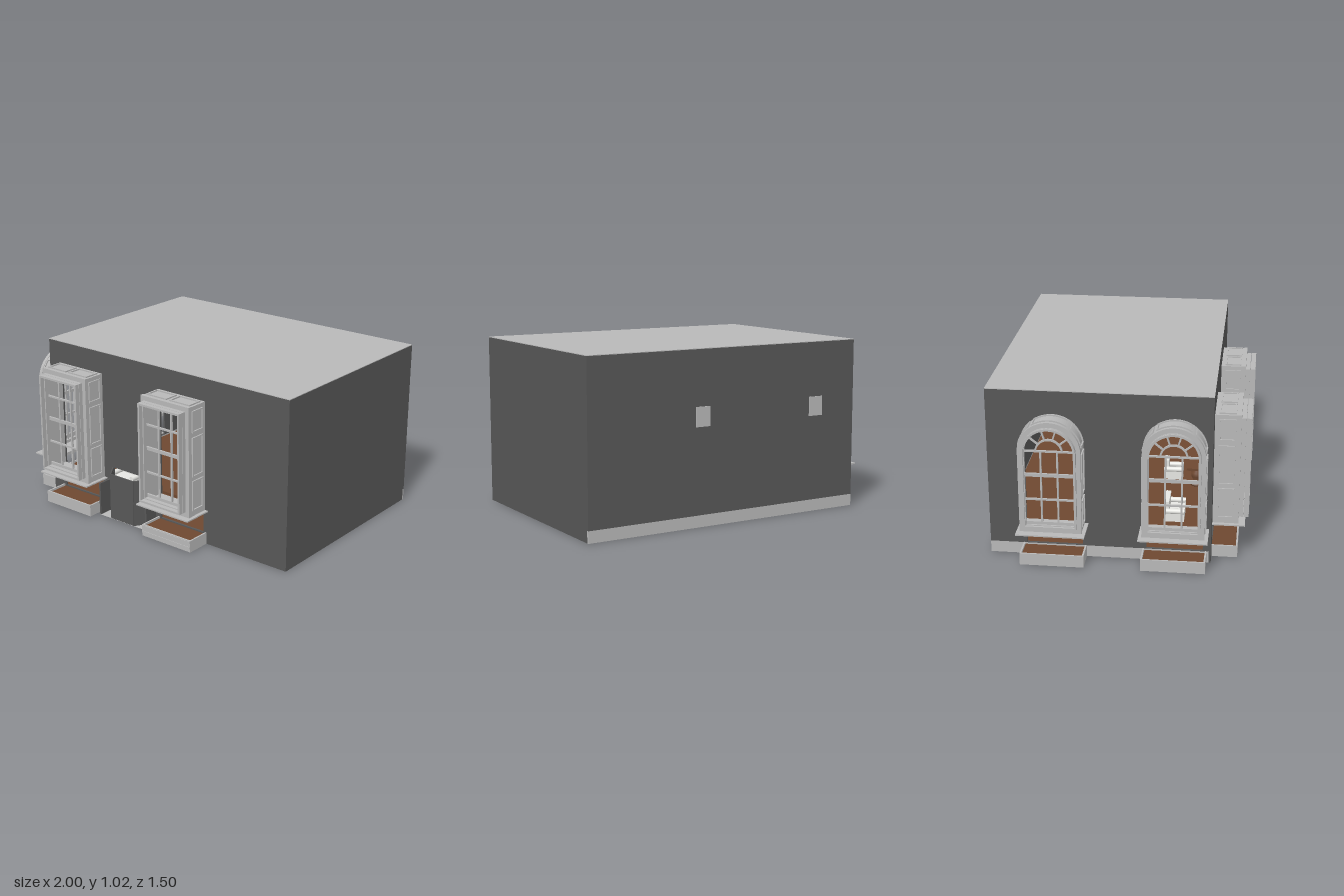
import * as THREE from 'three';

const mat = (name, color) => {
  const m = new THREE.MeshStandardMaterial({ color });
  m.name = name;
  return m;
};
const wallGrey = mat('wall grey', 0x575757);
const trim = mat('trim grey', 0xb8b8b8);
const brown = mat('floor brown', 0x6e4830);
const white = mat('upholstery white', 0xe6e6e2);

const X0 = -0.815, X1 = 1, Z0 = -0.745, Z1 = 0.54, H = 1.02;
const frontBays = [-0.55, 0.245], sideBays = [-0.365, 0.33];

function add(parent, name, geo, material, x = 0, y = 0, z = 0) {
  const m = new THREE.Mesh(geo, material);
  m.name = name;
  m.position.set(x, y, z);
  parent.add(m);
  return m;
}
// box given by its two corners
const box = (parent, name, material, x0, x1, y0, y1, z0, z1) =>
  add(parent, name, new THREE.BoxGeometry(x1 - x0, y1 - y0, z1 - z0), material,
    (x0 + x1) / 2, (y0 + y1) / 2, (z0 + z1) / 2);

const extrude = (shape, depth) =>
  new THREE.ExtrudeGeometry(shape, { depth, bevelEnabled: false, curveSegments: 24 });

// upright outline, square or round-headed, centred on cx
function outline(Type, cx, half, y0, y1, arched) {
  const s = new Type();
  const spring = arched ? y1 - half : y1;
  s.moveTo(cx - half, y0);
  s.lineTo(cx + half, y0);
  s.lineTo(cx + half, spring);
  if (arched) s.absarc(cx, spring, half, 0, Math.PI, false);
  else s.lineTo(cx - half, y1);
  s.closePath();
  return s;
}
function ring(half, y0, y1, t, depth, arched = false) {
  const s = outline(THREE.Shape, 0, half, y0, y1, arched);
  s.holes.push(outline(THREE.Path, 0, half - t, y0 + t, y1 - t, arched));
  return extrude(s, depth);
}
// curved strip of a round head between two angles
function arcStrip(r0, r1, a0, a1, depth) {
  const s = new THREE.Shape();
  s.absarc(0, 0, r1, a0, a1, false);
  s.absarc(0, 0, r0, a1, a0, true);
  s.closePath();
  return extrude(s, depth);
}

// bay window: wall plane at z = 0, projecting along +z
function bay(name, arched, depth, sashOut, sillOut) {
  const g = new THREE.Group();
  g.name = name;
  const top = 0.885, bottom = 0.215, half = 0.175, spring = top - half;
  add(g, 'bayShell', ring(half, bottom, top, 0.012, depth - 0.02, arched), trim);
  add(g, 'bayFrontFrame', ring(half + 0.003, bottom, top + 0.003, 0.032, 0.02, arched), trim, 0, 0, depth - 0.02);
  const step = (sashOut - depth) / 2;
  add(g, 'innerMoulding', ring(0.153, 0.248, 0.86, 0.016, step - 0.003, arched), trim, 0, 0, depth);
  add(g, 'outerMoulding', ring(0.153, 0.248, 0.86, 0.012, step, arched), trim, 0, 0, depth + step);
  box(g, 'sill', trim, -0.197, 0.197, 0.207, 0.215, 0, sillOut);

  // glazing bars
  const zb = depth - 0.012;
  for (const x of [-0.047, 0.047])
    box(g, 'uprightBar', trim, x - 0.005, x + 0.005, 0.24, arched ? spring : 0.86, zb, zb + 0.012);
  for (const [y, t] of [[0.42, 0.005], [0.57, 0.01], [0.715, 0.005], [0.27, 0.012]])
    box(g, 'crossBar', trim, -0.145, 0.145, y - t, y + t, zb, zb + 0.012);
  if (arched) {
    add(g, 'fanArc', arcStrip(0.07, 0.08, 0, Math.PI, 0.012), trim, 0, spring, zb);
    for (const a of [-0.9, -0.3, 0.3, 0.9]) {
      const b = add(g, 'fanBar', new THREE.BoxGeometry(0.009, 0.075, 0.012), trim,
        Math.sin(a) * 0.113, spring + Math.cos(a) * 0.113, zb + 0.006);
      b.rotation.z = -a;
    }
  }

  // raised panel mouldings on the cheeks
  const pw = depth * 0.32, zc = depth * 0.48;
  const rows = arched ? [[0.245, 0.41], [0.44, 0.695]] : [[0.25, 0.435], [0.46, 0.7], [0.73, 0.86]];
  for (const side of [-1, 1])
    for (const [y0, y1] of rows) {
      const p = add(g, 'cheekPanel', ring(pw, y0, y1, 0.008, 0.008), trim, side * half, 0, zc);
      p.rotation.y = side * Math.PI / 2;
    }
  // mouldings on the head
  if (arched) {
    for (const [a0, a1] of [[0.12, 0.85], [0.98, 2.16], [2.29, 3.02]]) {
      for (const z of [zc - pw, zc + pw - 0.008])
        add(g, 'headPanelRail', arcStrip(half - 0.002, half + 0.008, a0, a1, 0.008), trim, 0, spring, z);
      for (const a of [a0, a1 - 0.045])
        add(g, 'headPanelEnd', arcStrip(half - 0.002, half + 0.008, a, a + 0.045, pw * 2), trim, 0, spring, zc - pw);
    }
  } else {
    for (const x of [-0.085, 0.085]) {
      const p = add(g, 'headPanel', ring(0.075, -pw, pw, 0.009, 0.008), trim, x, top, zc);
      p.rotation.x = -Math.PI / 2;
    }
  }

  // low kerb round the floor below the bay
  const k = 0.18;
  box(g, 'kerbFront', trim, -k, k, 0, 0.072, depth - 0.01, depth);
  for (const s of [-1, 1])
    box(g, 'kerbSide', trim, s * k - 0.005, s * k + 0.005, 0, 0.072, 0, depth);
  return g;
}

// wall with openings, in the xy plane
function wall(x0, x1, y0, openings) {
  const s = new THREE.Shape();
  s.moveTo(x0, y0);
  s.lineTo(x1, y0);
  s.lineTo(x1, H);
  s.lineTo(x0, H);
  s.closePath();
  for (const o of openings) s.holes.push(outline(THREE.Path, ...o));
  return extrude(s, 0.012);
}

export function createModel() {
  const root = new THREE.Group();
  root.name = 'room';
  const t = 0.012;

  // walls and roof
  add(root, 'frontWall', wall(X0, X1, 0, [
    ...frontBays.map(c => [c, 0.163, 0.068, 0.873, false]),
    [-0.15, 0.15, 0.004, 0.295, false]]), wallGrey, 0, 0, Z1 - t);
  const left = add(root, 'archedWall', wall(Z0, Z1 - t, 0.07,
    sideBays.map(c => [c, 0.163, 0.074, 0.873, true])), wallGrey, X0 + t, 0, 0);
  left.rotation.y = -Math.PI / 2;
  box(root, 'backWall', wallGrey, X0 + t, X1, 0.07, H, Z0, Z0 + t);
  box(root, 'plainWall', wallGrey, X1 - t, X1, 0, H, Z0 + t, Z1 - t);
  box(root, 'roof', trim, X0, X1, H, H + 0.004, Z0, Z1);
  box(root, 'backBaseBand', trim, X0, X1, 0, 0.07, Z0, Z0 + t);
  box(root, 'sideBaseBand', trim, X0, X0 + t, 0, 0.07, Z0 + t, Z1 - t);

  // floor, continued out under each bay
  box(root, 'floor', brown, X0 + t, X1 - t, 0.001, 0.06, Z0 + t, Z1 - t);
  for (const c of frontBays) box(root, 'frontBayFloor', brown, c - 0.174, c + 0.174, 0.001, 0.06, Z1 - t, Z1 + 0.139);
  for (const c of sideBays) box(root, 'sideBayFloor', brown, X0 - 0.13, X0 + t, 0.001, 0.06, c - 0.174, c + 0.174);

  // bays
  for (const c of frontBays) {
    const b = bay('squareBay', false, 0.15, 0.207, 0.188);
    b.position.set(c, 0, Z1);
    root.add(b);
  }
  for (const c of sideBays) {
    const b = bay('archedBay', true, 0.14, 0.165, 0.185);
    b.rotation.y = -Math.PI / 2;
    b.position.set(X0, 0, c);
    root.add(b);
  }
  // stepped lip on one kerb
  for (const y of [0.02, 0.055])
    box(root, 'kerbLip', trim, 0.063, 0.427, y, y + 0.012, Z1 + 0.148, Z1 + 0.153);

  // small plates set through the back wall
  for (const x of [-0.53, 0.265])
    box(root, 'wallPlate', trim, x - 0.047, x + 0.047, 0.58, 0.695, Z0 - 0.005, Z0 + t + 0.005);

  // three-sided entrance screen with its threshold
  const screen = new THREE.Group();
  screen.name = 'entranceScreen';
  root.add(screen);
  const plan = [[-0.305, Z1], [-0.245, 0.628], [-0.06, 0.628], [-0.002, Z1]];
  for (let i = 0; i < 3; i++) {
    const [ax, az] = plan[i], [bx, bz] = plan[i + 1];
    const p = add(screen, 'screenPanel', new THREE.BoxGeometry(Math.hypot(bx - ax, bz - az), 0.292, 0.008),
      wallGrey, (ax + bx) / 2, 0.149, (az + bz) / 2);
    p.rotation.y = -Math.atan2(bz - az, bx - ax);
  }
  const threshold = add(screen, 'threshold', new THREE.PlaneGeometry(0.39, 0.095), trim, -0.145, 0.004, Z1 + 0.047);
  threshold.rotation.x = -Math.PI / 2;
  for (const x of [-0.335, 0.035])
    box(screen, 'entrancePost', wallGrey, x - 0.006, x + 0.006, 0, 0.21, Z1, Z1 + 0.09);

  // furniture: sofa, chair and pedestal table
  const seat = (name, x, z, w) => {
    const g = new THREE.Group();
    g.name = name;
    g.position.set(x, 0.06, z);
    root.add(g);
    box(g, 'seatBase', white, -w, w, 0.02, 0.075, -0.06, 0.06);
    box(g, 'seatBack', white, -w, w, 0.075, 0.15, -0.06, -0.03);
    for (const s of [-1, 1]) {
      const arm = add(g, 'armRoll', new THREE.CylinderGeometry(0.016, 0.016, 0.12, 14), white, s * w, 0.09, 0);
      arm.rotation.x = Math.PI / 2;
    }
  };
  seat('sofa', -0.4, 0.3, 0.08);
  seat('chair', 0.16, 0.25, 0.04);
  const profile = [[0, 0], [0.04, 0], [0.04, 0.012], [0.018, 0.025], [0.035, 0.06], [0.034, 0.085],
    [0.015, 0.11], [0.015, 0.125], [0, 0.125]].map(p => new THREE.Vector2(...p));
  add(root, 'tablePedestal', new THREE.LatheGeometry(profile, 24), brown, 0.105, 0.06, 0.4);
  box(root, 'tableTop', brown, 0.03, 0.24, 0.185, 0.2, 0.34, 0.46);

  return root;
}
